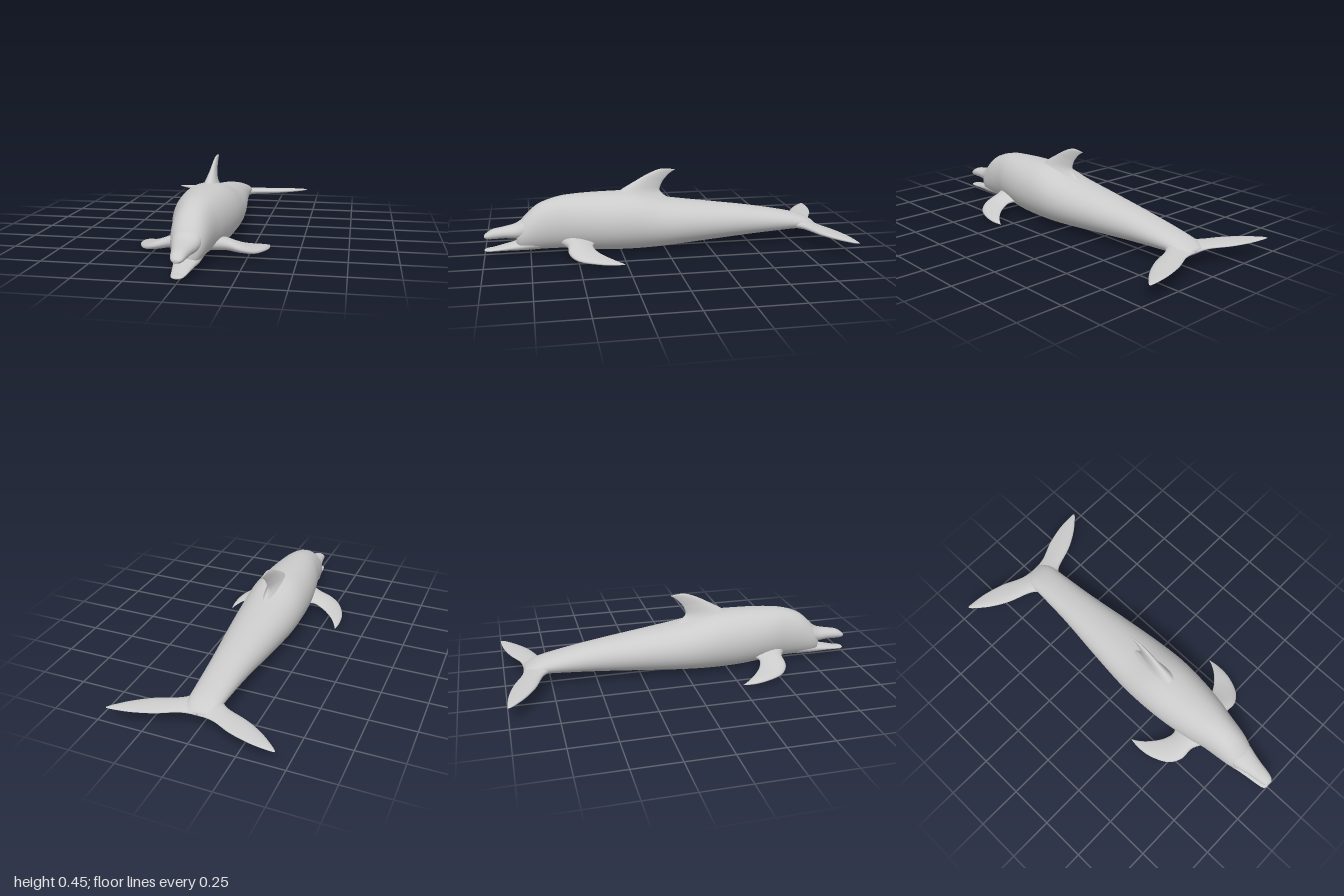
import * as THREE from 'three';

const material = new THREE.MeshStandardMaterial({ color: 0xcccccc });

// Catmull-Rom subdivision of rows of numbers
function smoothRows(rows, steps) {
  const out = [];
  const row = (i) => rows[Math.min(Math.max(i, 0), rows.length - 1)];
  for (let i = 0; i < rows.length - 1; i++) {
    for (let s = 0; s < steps; s++) {
      const t = s / steps;
      out.push(rows[i].map((b, k) => {
        const a = row(i - 1)[k], c = row(i + 1)[k], d = row(i + 2)[k];
        return b + 0.5 * t * (c - a + t * (2 * a - 5 * b + 4 * c - d + t * (3 * (b - c) + d - a)));
      }));
    }
  }
  out.push(rows[rows.length - 1]);
  return out;
}

// Skin closed rings of points, cap both ends and face the skin outwards
function skin(name, rings) {
  const n = rings[0].length;
  const points = rings.flat();
  const index = [];
  for (let i = 0; i < rings.length - 1; i++) {
    for (let j = 0; j < n; j++) {
      const a = i * n + j, b = i * n + (j + 1) % n;
      index.push(a, b, a + n, b, b + n, a + n);
    }
  }
  const last = (rings.length - 1) * n;
  for (let j = 1; j < n - 1; j++) {
    index.push(0, j + 1, j, last, last + j, last + j + 1);
  }
  let volume = 0;
  const cross = new THREE.Vector3();
  for (let i = 0; i < index.length; i += 3) {
    cross.crossVectors(points[index[i + 1]], points[index[i + 2]]);
    volume += points[index[i]].dot(cross);
  }
  if (volume < 0) index.reverse();
  const geometry = new THREE.BufferGeometry().setFromPoints(points);
  geometry.setIndex(index);
  geometry.computeVertexNormals();
  const mesh = new THREE.Mesh(geometry, material);
  mesh.name = name;
  return mesh;
}

// Oval sections along z: [z, half width, bottom, top]
function trunk(name, rows, sides = 32) {
  return skin(name, smoothRows(rows, 5).map(([z, w, bottom, top]) =>
    Array.from({ length: sides }, (_, j) => {
      const a = (j / sides) * Math.PI * 2, c = Math.cos(a);
      const x = w * Math.sign(c) * Math.abs(c) ** 0.9;
      return new THREE.Vector3(x, (top + bottom) / 2 + (top - bottom) / 2 * Math.sin(a), z);
    })));
}

// Foil sections: [lead x, y, z, trail x, y, z, half thickness]
function fin(name, rows, thickAxis, mirror = 1, sides = 20) {
  return skin(name, smoothRows(rows, 5).map(([lx, ly, lz, tx, ty, tz, thick]) => {
    const lead = new THREE.Vector3(lx * mirror, ly, lz);
    const trail = new THREE.Vector3(tx * mirror, ty, tz);
    return Array.from({ length: sides }, (_, j) => {
      const a = (j / sides) * Math.PI * 2, c = Math.cos(a);
      return trail.clone().lerp(lead, (1 + c) / 2)
        .addScaledVector(thickAxis, thick * Math.sin(a) * (0.8 + 0.3 * c));
    });
  }));
}

export function createModel() {
  const dolphin = new THREE.Group();
  dolphin.name = 'dolphin';
  const across = new THREE.Vector3(1, 0, 0);
  const upward = new THREE.Vector3(0, 1, 0);

  // Body from tail stock to the corner of the mouth
  dolphin.add(trunk('body', [
    [-0.89, 0.05, 0.092, 0.112],
    [-0.83, 0.085, 0.075, 0.145],
    [-0.72, 0.093, 0.067, 0.176],
    [-0.5, 0.11, 0.052, 0.217],
    [-0.25, 0.14, 0.033, 0.252],
    [0, 0.166, 0.013, 0.288],
    [0.18, 0.171, 0.005, 0.328],
    [0.35, 0.16, 0.008, 0.332],
    [0.5, 0.137, 0.022, 0.327],
    [0.6, 0.113, 0.027, 0.315],
    [0.7, 0.097, 0.026, 0.28],
    [0.77, 0.082, 0.026, 0.222],
    [0.81, 0.062, 0.032, 0.175],
    [0.825, 0.04, 0.05, 0.15],
  ]));

  // Open beak
  dolphin.add(trunk('upperBeak', [
    [0.7, 0.07, 0.09, 0.26],
    [0.78, 0.072, 0.088, 0.205],
    [0.83, 0.062, 0.093, 0.174],
    [0.89, 0.048, 0.097, 0.16],
    [0.95, 0.038, 0.094, 0.149],
    [0.985, 0.028, 0.096, 0.13],
    [1, 0.014, 0.103, 0.116],
  ], 24));
  dolphin.add(trunk('lowerJaw', [
    [0.7, 0.07, 0.027, 0.11],
    [0.78, 0.066, 0.026, 0.09],
    [0.83, 0.055, 0.026, 0.073],
    [0.89, 0.045, 0.026, 0.058],
    [0.95, 0.036, 0.025, 0.044],
    [0.985, 0.028, 0.024, 0.04],
    [1, 0.014, 0.028, 0.035],
  ], 24));

  // Swept-back dorsal fin with a flared root
  dolphin.add(fin('dorsalFin', [
    [0, 0.27, 0.32, 0, 0.26, -0.07, 0.085],
    [0, 0.335, 0.25, 0, 0.32, 0.015, 0.04],
    [0, 0.385, 0.165, 0, 0.37, 0.01, 0.021],
    [0, 0.428, 0.085, 0, 0.405, -0.015, 0.013],
    [0, 0.453, 0.01, 0, 0.43, -0.042, 0.007],
    [0, 0.446, -0.064, 0, 0.442, -0.064, 0.001],
  ], across));

  // Pectoral fins and tail flukes, one of each per side
  for (const [side, mirror] of [['left', 1], ['right', -1]]) {
    dolphin.add(fin(side + 'PectoralFin', [
      [0.07, 0.085, 0.6, 0.07, 0.08, 0.37, 0.045],
      [0.145, 0.075, 0.555, 0.145, 0.07, 0.415, 0.036],
      [0.225, 0.053, 0.55, 0.205, 0.055, 0.4, 0.027],
      [0.29, 0.034, 0.505, 0.255, 0.044, 0.365, 0.018],
      [0.332, 0.026, 0.415, 0.295, 0.034, 0.325, 0.012],
      [0.343, 0.018, 0.33, 0.322, 0.022, 0.285, 0.007],
      [0.336, 0.015, 0.262, 0.332, 0.015, 0.262, 0.001],
    ], upward, mirror));
    dolphin.add(fin(side + 'Fluke', [
      [0, 0.11, -0.7, 0, 0.1, -0.895, 0.032],
      [0.06, 0.106, -0.74, 0.06, 0.1, -0.9, 0.028],
      [0.12, 0.102, -0.795, 0.11, 0.1, -0.915, 0.022],
      [0.25, 0.098, -0.845, 0.2, 0.098, -0.957, 0.018],
      [0.35, 0.095, -0.905, 0.31, 0.096, -0.988, 0.013],
      [0.42, 0.093, -0.965, 0.4, 0.094, -0.999, 0.008],
      [0.445, 0.093, -0.992, 0.442, 0.093, -1, 0.001],
    ], upward, mirror));
  }
  return dolphin;
}
